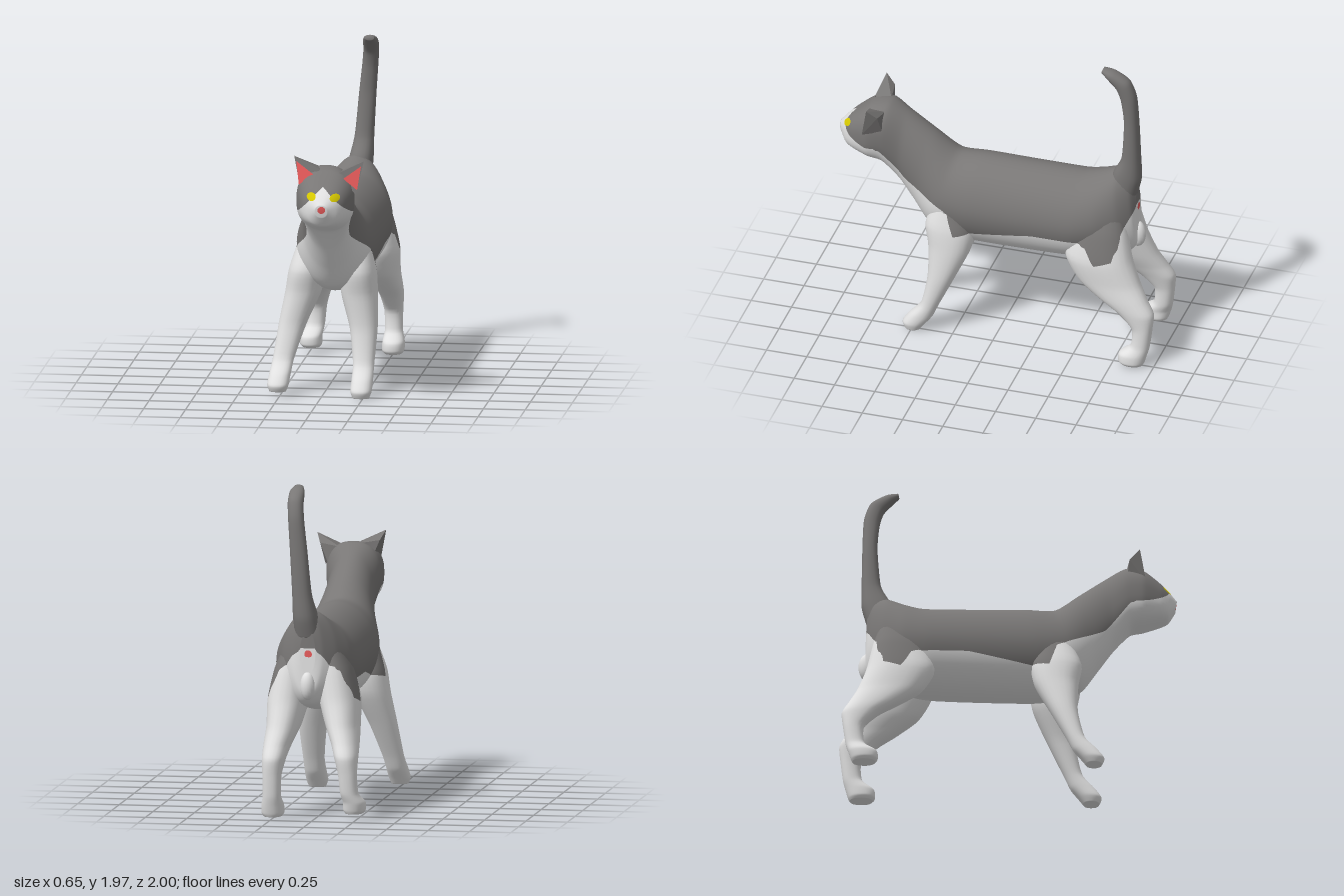
import * as THREE from 'three';
import { ConvexGeometry } from 'three/addons/geometries/ConvexGeometry.js';

const mat = (name, color) => Object.assign(new THREE.MeshStandardMaterial({ color }), { name });

// Smooth skin through rings [az, ay, bz, by, x, halfWidth, squareness];
// a and b are opposite edges of the ring, squareness 1 is an ellipse and less is boxier.
function loft(rings, segs, sub) {
  const at = (i) => rings[Math.max(0, Math.min(rings.length - 1, i))];
  const fine = [];
  for (let i = 0; i < rings.length - 1; i++) {
    for (let s = 0; s < sub; s++) {
      const t = s / sub;
      fine.push(rings[i].map((p1, k) => {
        const p0 = at(i - 1)[k], p2 = at(i + 1)[k], p3 = at(i + 2)[k];
        const m1 = (p2 - p0) * 0.35, m2 = (p3 - p1) * 0.35;
        return p1 + m1 * t + (3 * (p2 - p1) - 2 * m1 - m2) * t * t + (2 * (p1 - p2) + m1 + m2) * t * t * t;
      }));
    }
  }
  fine.push(rings[rings.length - 1]);
  const pos = [], idx = [];
  for (const [az, ay, bz, by, x, w, power = 0.9] of fine) {
    const bend = (v) => Math.sign(v) * Math.abs(v) ** power;
    for (let j = 0; j < segs; j++) {
      const a = (j / segs) * Math.PI * 2, c = bend(Math.cos(a)), s = bend(Math.sin(a)) / 2;
      pos.push(x + w * c, (ay + by) / 2 + (ay - by) * s, (az + bz) / 2 + (az - bz) * s);
    }
  }
  const last = fine.length - 1, cap = fine.length * segs;
  for (const [az, ay, bz, by, x] of [fine[0], fine[last]]) pos.push(x, (ay + by) / 2, (az + bz) / 2);
  for (let j = 0; j < segs; j++) {
    const k = (j + 1) % segs;
    for (let i = 0; i < last; i++) {
      const A = i * segs + j, B = i * segs + k;
      idx.push(A, A + segs, B, B, A + segs, B + segs);
    }
    idx.push(cap, j, k, cap + 1, last * segs + k, last * segs + j);
  }
  const geo = new THREE.BufferGeometry();
  geo.setAttribute('position', new THREE.Float32BufferAttribute(pos, 3));
  geo.setIndex(idx);
  geo.computeVertexNormals();
  return geo;
}

// Keeps the part of a polygon where sign * field >= 0.
function clip(poly, field, sign) {
  const out = [];
  poly.forEach((p, i) => {
    const q = poly[(i + 1) % poly.length];
    const fp = sign * field(p[0], p[1], p[2]), fq = sign * field(q[0], q[1], q[2]);
    if (fp >= 0) out.push(p);
    if ((fp >= 0) !== (fq >= 0)) out.push(p.map((v, k) => v + (q[k] - v) * (fp / (fp - fq))));
  });
  return out;
}

// Cuts a skin along marking outlines and returns one mesh for each colour.
function paint(name, geo, layers, base) {
  const flat = geo.toNonIndexed(), P = flat.attributes.position, N = flat.attributes.normal;
  let polys = [];
  for (let i = 0; i < P.count; i += 3) {
    polys.push([i, i + 1, i + 2].map((v) => [P.getX(v), P.getY(v), P.getZ(v), N.getX(v), N.getY(v), N.getZ(v)]));
  }
  const group = new THREE.Group();
  group.name = name;
  const add = (list, material) => {
    const pos = [], nor = [];
    for (const poly of list) {
      for (let i = 1; i < poly.length - 1; i++) {
        for (const v of [poly[0], poly[i], poly[i + 1]]) {
          pos.push(v[0], v[1], v[2]);
          nor.push(v[3], v[4], v[5]);
        }
      }
    }
    if (!pos.length) return;
    const g = new THREE.BufferGeometry();
    g.setAttribute('position', new THREE.Float32BufferAttribute(pos, 3));
    g.setAttribute('normal', new THREE.Float32BufferAttribute(nor, 3));
    const mesh = new THREE.Mesh(g, material);
    mesh.name = `${name} ${material.name}`;
    group.add(mesh);
  };
  for (const [field, material] of layers) {
    add(polys.map((p) => clip(p, field, -1)).filter((p) => p.length > 2), material);
    polys = polys.map((p) => clip(p, field, 1)).filter((p) => p.length > 2);
  }
  add(polys, base);
  return group;
}

// Lower edge of the dark coat, as [z, y] from nose to tail
const COAT = [[2, 1.22], [0.94, 1.22], [0.9, 1.21], [0.72, 1.18], [0.57, 1.0], [0.28, 0.86], [0.27, 0.71], [-0.25, 0.81],
  [-0.58, 0.81], [-0.62, 0.68], [-0.77, 0.73], [-0.79, 0.9], [-0.84, 1.0], [-0.87, 1.2], [-2, 1.25]];
function coatEdge(z) {
  const i = COAT.findIndex((p) => p[0] <= z);
  const [z0, y0] = COAT[i - 1], [z1, y1] = COAT[i];
  return y0 + ((y1 - y0) * (z - z0)) / (z1 - z0);
}

export function createModel() {
  const grey = mat('greyCoat', 0x797776), white = mat('whiteFur', 0xe2e2e2);
  const pink = mat('pinkSkin', 0xea5c5c), yellow = mat('yellowEyes', 0xd6c800);
  const cat = new THREE.Group();
  cat.name = 'cat';

  // Markings: negative inside
  const spot = (cx, cy, rx, ry, zSide) => (x, y, z) =>
    z * Math.sign(zSide) < Math.abs(zSide) ? 1 : Math.hypot((x - cx) / rx, (y - cy) / ry) - 1;
  const whiteArea = (x, y, z) => {
    const blaze = z > 0.75 ? Math.abs(x - 0.062) - (1.36 - y) : 1;
    return Math.min(y - coatEdge(z), blaze);
  };
  const fur = [[whiteArea, white]];
  const face = [
    [spot(0.062, 1.235, 0.027, 0.023, 0.9), pink],
    [spot(0.045, 0.985, 0.028, 0.03, -0.8), pink],
    [spot(-0.006, 1.305, 0.029, 0.023, 0.85), yellow],
    [spot(0.136, 1.3, 0.029, 0.023, 0.85), yellow],
  ];

  // Head, neck and trunk, nose to rump
  cat.add(paint('body', loft([
    [1.0, 1.26, 0.99, 1.19, 0.06, 0.035, 0.9],
    [0.955, 1.31, 0.95, 1.13, 0.06, 0.09, 0.85],
    [0.9, 1.36, 0.9, 1.11, 0.06, 0.13, 0.8],
    [0.8, 1.435, 0.8, 1.08, 0.06, 0.172, 0.8],
    [0.69, 1.45, 0.72, 1.05, 0.055, 0.165, 0.85],
    [0.58, 1.39, 0.62, 0.93, 0.05, 0.143, 0.95],
    [0.42, 1.28, 0.53, 0.8, 0.05, 0.165, 1],
    [0.27, 1.175, 0.42, 0.66, 0.05, 0.215, 1.05],
    [0.1, 1.175, 0.2, 0.6, 0.05, 0.24, 1.05],
    [-0.2, 1.17, -0.2, 0.6, 0.05, 0.248, 1.05],
    [-0.5, 1.17, -0.47, 0.61, 0.05, 0.25, 1.05],
    [-0.62, 1.2, -0.65, 0.64, 0.05, 0.225, 1.05],
    [-0.72, 1.24, -0.79, 0.68, 0.055, 0.165, 1],
    [-0.8, 1.22, -0.85, 0.75, 0.055, 0.095, 1],
    [-0.84, 1.12, -0.85, 0.87, 0.05, 0.045, 1],
  ], 56, 6), [...face, ...fur], grey));

  // Small bump under the tail
  const bump = new THREE.Mesh(new THREE.SphereGeometry(1, 16, 12), white);
  bump.name = 'rearBump';
  bump.scale.set(0.045, 0.085, 0.05);
  bump.position.set(0.05, 0.8, -0.84);
  cat.add(bump);

  // Tail, rump to curled tip
  cat.add(paint('tail', loft([
    [-0.66, 1.12, -0.84, 1.08, 0.06, 0.08],
    [-0.7, 1.235, -0.87, 1.2, 0.075, 0.072],
    [-0.755, 1.35, -0.87, 1.35, 0.09, 0.058],
    [-0.775, 1.6, -0.865, 1.6, 0.108, 0.052],
    [-0.762, 1.76, -0.855, 1.8, 0.125, 0.048],
    [-0.735, 1.85, -0.815, 1.91, 0.135, 0.047],
    [-0.685, 1.91, -0.725, 1.965, 0.138, 0.045],
    [-0.645, 1.95, -0.655, 1.978, 0.138, 0.028],
  ], 20, 5), fur, grey));

  // Legs as [y, back z, front z, left x, right x, half width], hip to paw
  const foreLeg = [
    [0.95, 0.2, 0.36, 0.165, -0.065, 0.085], [0.75, 0.13, 0.43, 0.19, -0.11, 0.108],
    [0.6, 0.15, 0.41, 0.2, -0.135, 0.108], [0.4, 0.24, 0.405, 0.23, -0.195, 0.083],
    [0.2, 0.335, 0.445, 0.238, -0.24, 0.064], [0.11, 0.375, 0.52, 0.237, -0.255, 0.064],
    [0.05, 0.42, 0.56, 0.235, -0.262, 0.064], [0.01, 0.45, 0.545, 0.235, -0.262, 0.05],
  ];
  const hindLeg = [
    [1.02, -0.77, -0.56, 0.145, -0.045, 0.075], [0.88, -0.81, -0.48, 0.175, -0.08, 0.105],
    [0.7, -0.85, -0.44, 0.2, -0.11, 0.12],
    [0.55, -0.905, -0.52, 0.215, -0.14, 0.1], [0.45, -0.955, -0.65, 0.235, -0.17, 0.082],
    [0.37, -0.997, -0.77, 0.245, -0.19, 0.07], [0.27, -0.99, -0.865, 0.25, -0.205, 0.056],
    [0.15, -0.975, -0.86, 0.252, -0.215, 0.054], [0.09, -0.96, -0.79, 0.255, -0.237, 0.066],
    [0.04, -0.945, -0.785, 0.255, -0.237, 0.066], [0.02, -0.935, -0.8, 0.255, -0.235, 0.052],
  ];
  for (const [kind, leg] of [['Front', foreLeg], ['Hind', hindLeg]]) {
    for (const [side, column, lift] of [['left', 3, 0], ['right', 4, 0.03]]) {
      const rings = leg.map((r) => {
        const y = r[0] + lift * (1 - r[0]);
        return [r[1], y, r[2], y, r[column], r[5]];
      });
      cat.add(paint(`${side}${kind}Leg`, loft(rings, 24, 5), fur, grey));
    }
  }

  // Ears with pink inner faces
  for (const s of [-1, 1]) {
    const p = (x, y, z) => new THREE.Vector3(0.08 + s * x, y - s * 0.012, z);
    const ear = new THREE.Mesh(new ConvexGeometry([
      p(0.208, 1.505, 0.775), p(0.05, 1.43, 0.8), p(0.165, 1.31, 0.815), p(0.06, 1.43, 0.7),
      p(0.13, 1.33, 0.7), p(0.18, 1.45, 0.715),
    ]), grey);
    ear.name = s > 0 ? 'leftEar' : 'rightEar';
    const corners = [p(0.194, 1.478, 0.793), p(0.09, 1.405, 0.82), p(0.174, 1.34, 0.826)];
    if (s < 0) corners.reverse();
    const inner = new THREE.Mesh(new THREE.BufferGeometry().setFromPoints(corners), pink);
    inner.geometry.computeVertexNormals();
    inner.name = s > 0 ? 'leftInnerEar' : 'rightInnerEar';
    cat.add(ear, inner);
  }
  return cat;
}
